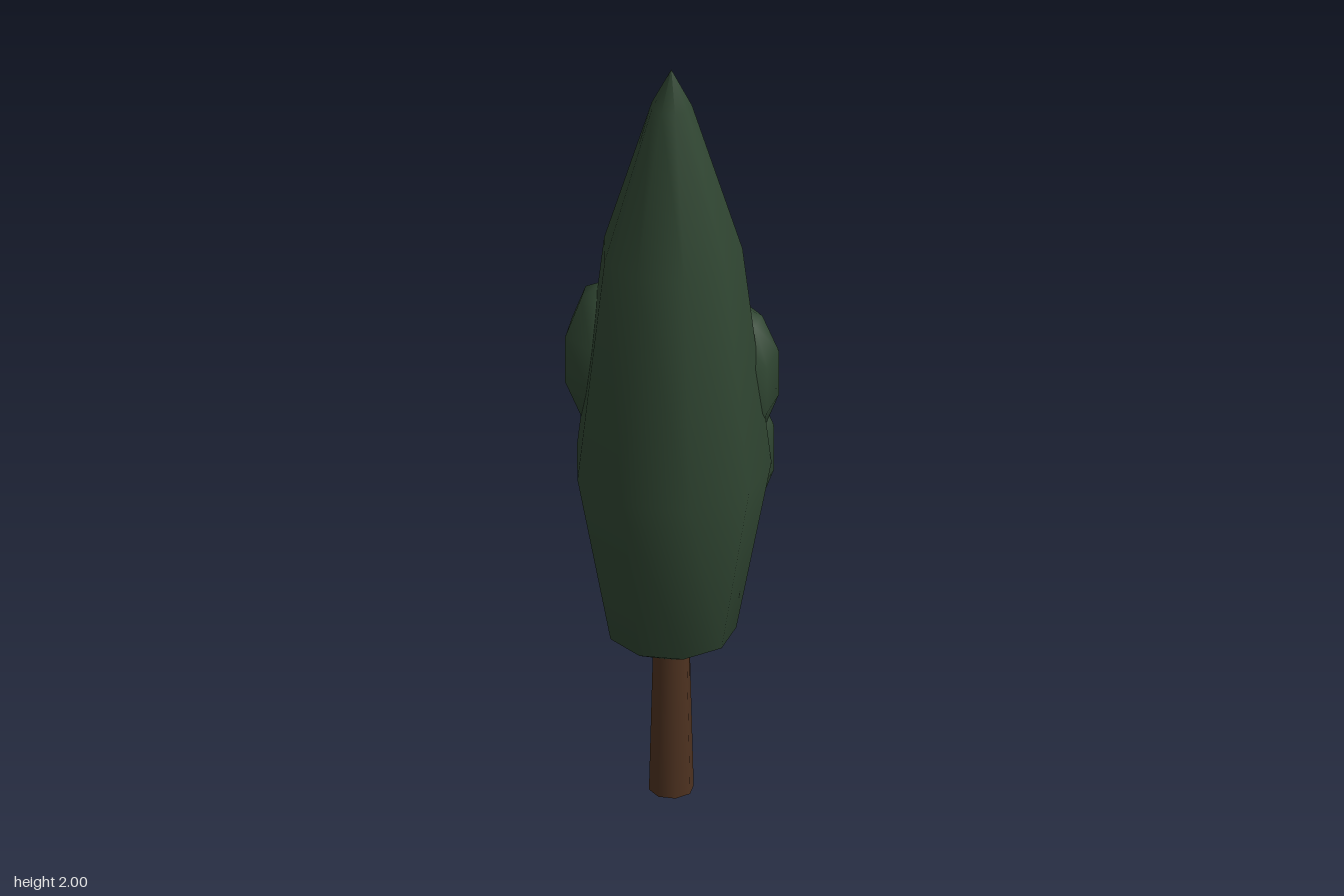
import * as THREE from 'three';

const CX = -0.013, CZ = -0.007; // tree axis

export function createModel() {
  const tree = new THREE.Group();
  tree.name = 'cypressTree';

  const foliage = new THREE.MeshStandardMaterial({ color: 0x304632 });
  foliage.name = 'dark green foliage';
  const bark = new THREE.MeshStandardMaterial({ color: 0x4e3220 });
  bark.name = 'brown bark';

  const add = (name, geometry, material, x, y, z) => {
    const mesh = new THREE.Mesh(geometry, material);
    mesh.name = name;
    mesh.position.set(x, y, z);
    tree.add(mesh);
    return mesh;
  };

  // Tapered trunk, its top hidden in the foliage
  add('trunk', new THREE.CylinderGeometry(0.044, 0.055, 0.44, 8), bark, CX, 0.22, CZ);

  // Tall nine-sided crown: [radius, height] from the underside to the tip
  const profile = [
    [0, 0.385], [0.055, 0.387], [0.157, 0.445], [0.242, 0.905],
    [0.172, 1.5], [0.05, 1.9], [0, 2],
  ].map(([r, y]) => new THREE.Vector2(r, y));
  add('crown', new THREE.LatheGeometry(profile, 9), foliage, CX, 0, CZ);

  // Stretched foliage tufts bulging from the sides: x, y, z, radius, half height, turn
  const tufts = [
    ['rightTuft', -0.15, 1.165, -0.11, 0.112, 0.205, 0.09],
    ['upperLeftTuft', 0.152, 1.11, -0.042, 0.11, 0.2, Math.PI - 0.05],
    ['lowerLeftTuft', 0.15, 0.885, -0.073, 0.106, 0.2, Math.PI - 0.05],
  ];
  for (const [name, x, y, z, r, h, turn] of tufts) {
    const geometry = new THREE.SphereGeometry(1, 7, 5).scale(r, h, r);
    add(name, geometry, foliage, x, y, z).rotation.y = turn;
  }

  return tree;
}
